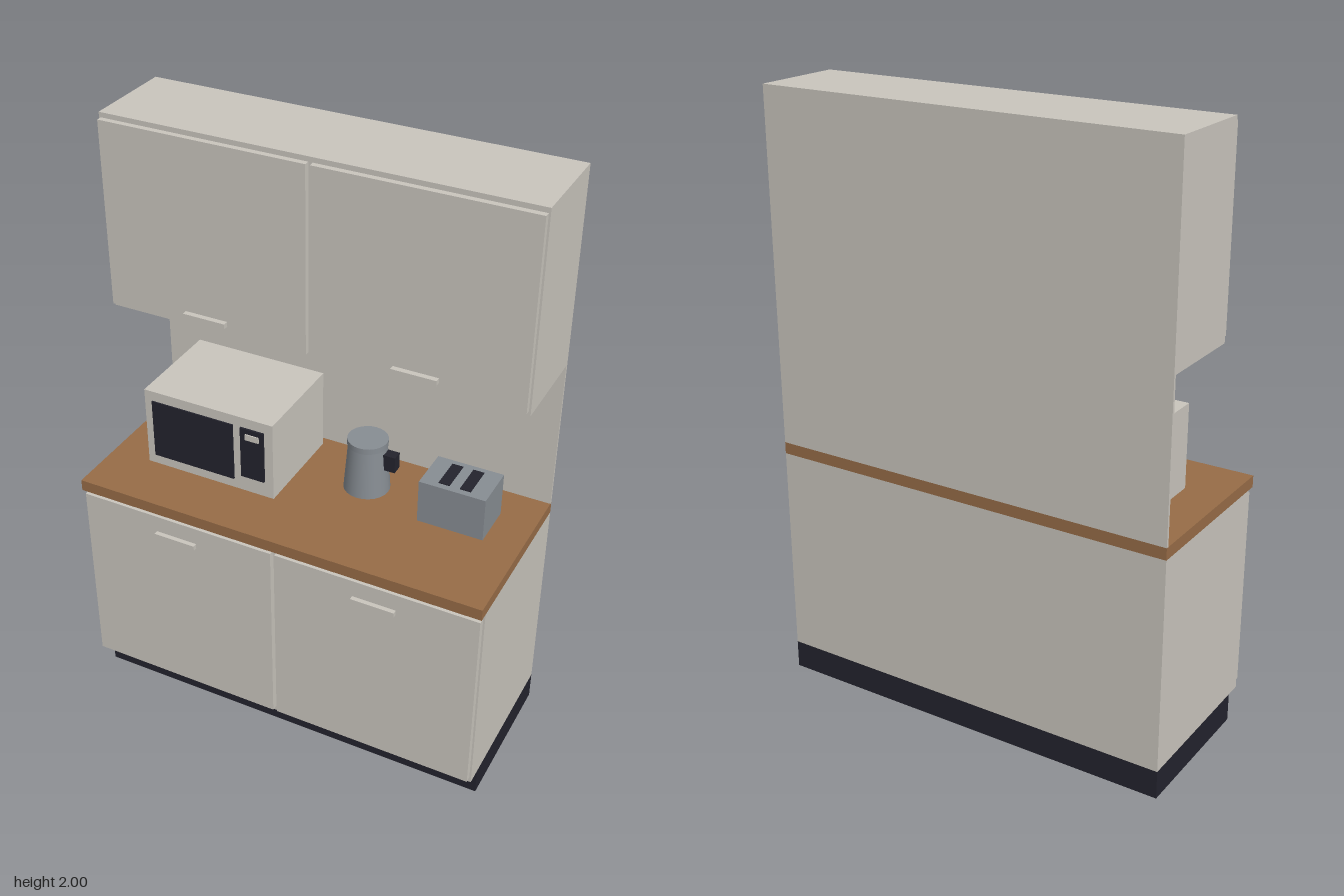
import * as THREE from 'three';

const material = (name, color) => {
  const m = new THREE.MeshStandardMaterial({ color });
  m.name = name;
  return m;
};

export function createModel() {
  const root = new THREE.Group();
  root.name = 'kitchenette';
  const cream = material('cream', 0xc9c5bd);
  const wood = material('wood', 0x976c47);
  const dark = material('dark', 0x23232d);
  const steel = material('steel', 0x878d93);

  const group = (name) => {
    const g = new THREE.Group();
    g.name = name;
    root.add(g);
    return g;
  };
  // Box given by its limits on each axis
  const box = (parent, name, mat, [x0, x1], [y0, y1], [z0, z1]) => {
    const mesh = new THREE.Mesh(new THREE.BoxGeometry(x1 - x0, y1 - y0, z1 - z0), mat);
    mesh.position.set((x0 + x1) / 2, (y0 + y1) / 2, (z0 + z1) / 2);
    mesh.name = name;
    parent.add(mesh);
  };
  const W = [-0.697, 0.697];
  const back = -0.295;

  // Pair of doors with bar handles
  const doors = (parent, y, z, handleY, handleZ) => {
    for (const [side, s] of [['right', -1], ['left', 1]]) {
      const c = s * 0.349;
      box(parent, side + 'Door', cream, [c - 0.342, c + 0.342], y, z);
      box(parent, side + 'Handle', cream, [c - 0.073, c + 0.073], handleY, [z[1], handleZ]);
    }
  };

  // Base cabinet, plinth and worktop
  const base = group('baseCabinet');
  box(base, 'plinth', dark, W, [0, 0.095], [back, 0.205]);
  box(base, 'carcass', cream, W, [0.095, 0.803], [back, 0.258]);
  doors(base, [0.115, 0.785], [0.258, 0.28], [0.709, 0.726], 0.295);
  box(base, 'worktop', wood, W, [0.803, 0.842], [back, 0.288]);

  // Back panel and wall cabinet
  box(root, 'backPanel', cream, W, [0.842, 1.356], [back, -0.286]);
  const wall = group('wallCabinet');
  box(wall, 'carcass', cream, W, [1.356, 2], [back, 0.017]);
  doors(wall, [1.372, 1.984], [0.017, 0.036], [1.397, 1.414], 0.054);

  // Microwave
  const oven = group('microwave');
  box(oven, 'body', cream, [-0.56, -0.095], [0.842, 1.12], [-0.255, 0.092]);
  box(oven, 'window', dark, [-0.532, -0.236], [0.877, 1.085], [0.092, 0.097]);
  box(oven, 'controlPanel', dark, [-0.208, -0.125], [0.9, 1.085], [0.092, 0.099]);
  box(oven, 'display', cream, [-0.188, -0.14], [1.047, 1.068], [0.099, 0.103]);

  // Kettle
  const kettle = group('kettle');
  kettle.position.set(0.137, 0.842, -0.11);
  const body = new THREE.Mesh(new THREE.CylinderGeometry(0.063, 0.076, 0.17, 24), steel);
  body.name = 'body';
  body.position.y = 0.085;
  const lid = new THREE.Mesh(new THREE.CylinderGeometry(0.066, 0.066, 0.02, 24), steel);
  lid.name = 'lid';
  lid.position.y = 0.176;
  kettle.add(body, lid);
  box(kettle, 'handle', dark, [0.055, 0.103], [0.093, 0.15], [-0.018, 0.018]);

  // Toaster with two slots
  const toaster = group('toaster');
  box(toaster, 'body', steel, [0.355, 0.575], [0.842, 0.992], [-0.167, -0.015]);
  for (const x of [0.43, 0.5]) {
    box(toaster, 'slot', dark, [x - 0.018, x + 0.018], [0.99, 0.995], [-0.146, -0.036]);
  }
  return root;
}
